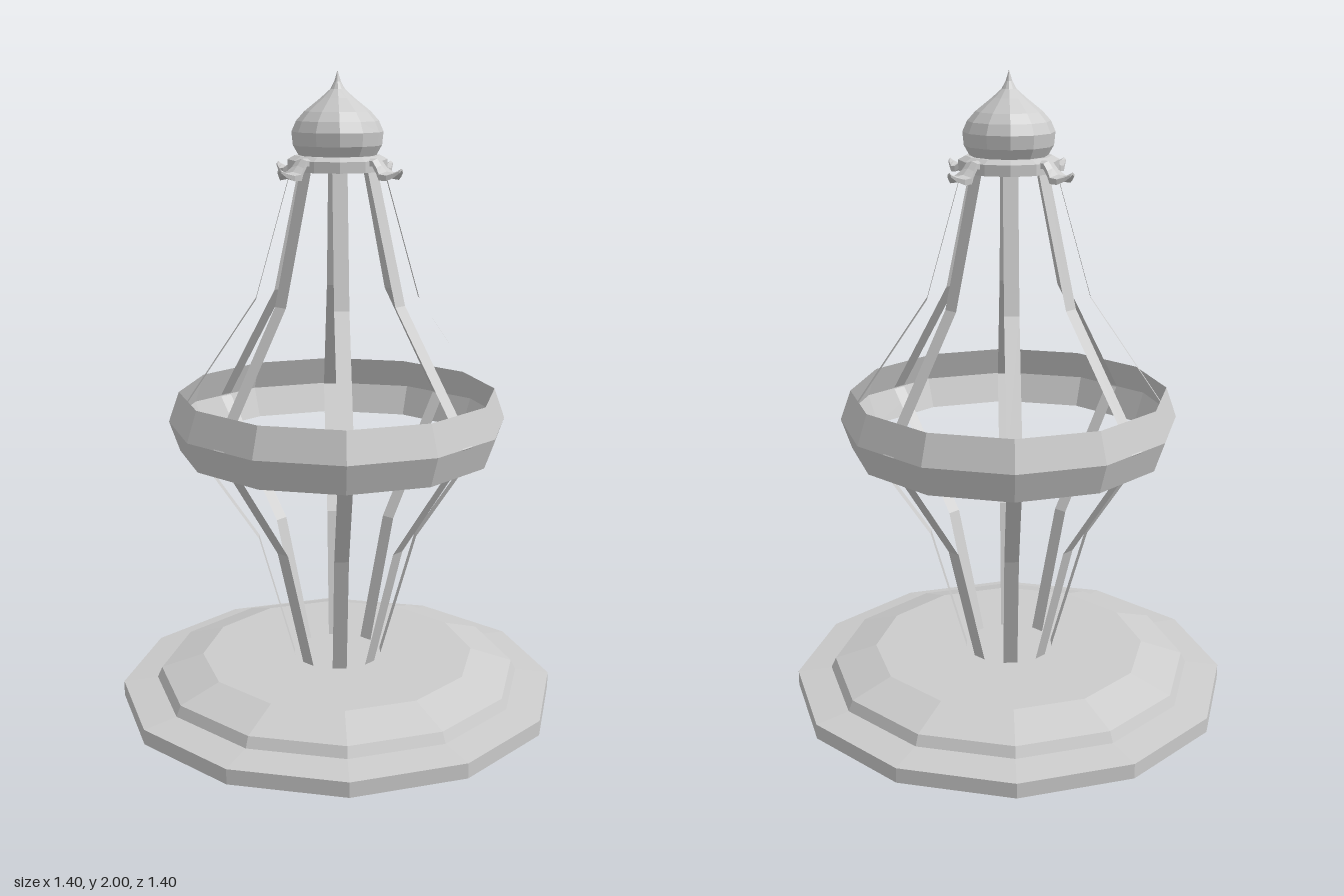
import * as THREE from 'three';

const SIDES = 12;
const solid = new THREE.MeshStandardMaterial({ color: 0xcccccc, flatShading: true });
const thin = new THREE.MeshStandardMaterial({ color: 0xcccccc, flatShading: true, side: THREE.DoubleSide });

// Twelve-sided turned part from [radius, height] pairs, listed bottom to top
function turned(name, profile, material) {
  const points = profile.map(([r, y]) => new THREE.Vector2(r, y));
  const mesh = new THREE.Mesh(new THREE.LatheGeometry(points, SIDES), material);
  mesh.name = name;
  return mesh;
}

// Flat bent strip following [radius, height] pairs, listed top to bottom
function ribGeometry(path, width) {
  const geo = new THREE.PlaneGeometry(width, 1, 1, path.length - 1);
  const pos = geo.attributes.position;
  for (let i = 0; i < pos.count; i++) {
    const [r, y] = path[Math.floor(i / 2)];
    pos.setY(i, y);
    pos.setZ(i, r);
  }
  geo.computeVertexNormals();
  return geo;
}

// Curled leaf: a box bent along stations of [radius, height, half width, half thickness]
function leafGeometry(stations) {
  const n = stations.length - 1;
  const geo = new THREE.BoxGeometry(2, 2, 1, 2, 1, n);
  const pos = geo.attributes.position;
  for (let i = 0; i < pos.count; i++) {
    const [r, y, w, t] = stations[Math.round((pos.getZ(i) + 0.5) * n)];
    const x = pos.getX(i);
    const crown = x === 0 ? 0.006 : 0;
    pos.setXYZ(i, x * w, y + pos.getY(i) * t + crown, r);
  }
  geo.computeVertexNormals();
  return geo;
}

export function createModel() {
  const model = new THREE.Group();
  model.name = 'cageLantern';

  // Stepped base
  model.add(turned('base', [
    [0, 0], [0.7, 0], [0.7, 0.048], [0.59, 0.062], [0.575, 0.095], [0.44, 0.14], [0, 0.14],
  ], solid));

  // Thin ridged band round the middle
  model.add(turned('band', [[0.497, 0.83], [0.53, 0.925], [0.497, 1.02]], thin));

  // Eight bent ribs
  const ribGeo = ribGeometry([
    [0.138, 1.72], [0.252, 1.314], [0.513, 0.925], [0.252, 0.54], [0.138, 0.135],
  ], 0.045);
  for (let k = 0; k < 8; k++) {
    const rib = new THREE.Mesh(ribGeo, thin);
    rib.name = 'rib' + (k + 1);
    rib.rotation.y = Math.PI / 6 + k * Math.PI / 4;
    model.add(rib);
  }

  // Collar and onion-shaped finial
  model.add(turned('collar', [
    [0, 1.705], [0.152, 1.705], [0.152, 1.738], [0.13, 1.75], [0, 1.75],
  ], solid));
  model.add(turned('finial', [
    [0.115, 1.745], [0.135, 1.78], [0.139, 1.82], [0.125, 1.852], [0.1, 1.88],
    [0.05, 1.92], [0.022, 1.945], [0.01, 1.967], [0, 2],
  ], solid));

  // Four curled leaves round the collar
  const leafGeo = leafGeometry([
    [0.13, 1.732, 0.024, 0.008], [0.158, 1.732, 0.022, 0.008], [0.175, 1.712, 0.024, 0.009],
    [0.195, 1.695, 0.036, 0.009], [0.217, 1.693, 0.03, 0.008], [0.236, 1.701, 0.017, 0.006],
    [0.251, 1.712, 0.008, 0.003],
  ]);
  for (let k = 0; k < 4; k++) {
    const leaf = new THREE.Mesh(leafGeo, solid);
    leaf.name = 'leaf' + (k + 1);
    leaf.rotation.y = Math.PI * 75 / 180 + k * Math.PI / 2;
    model.add(leaf);
  }

  return model;
}
